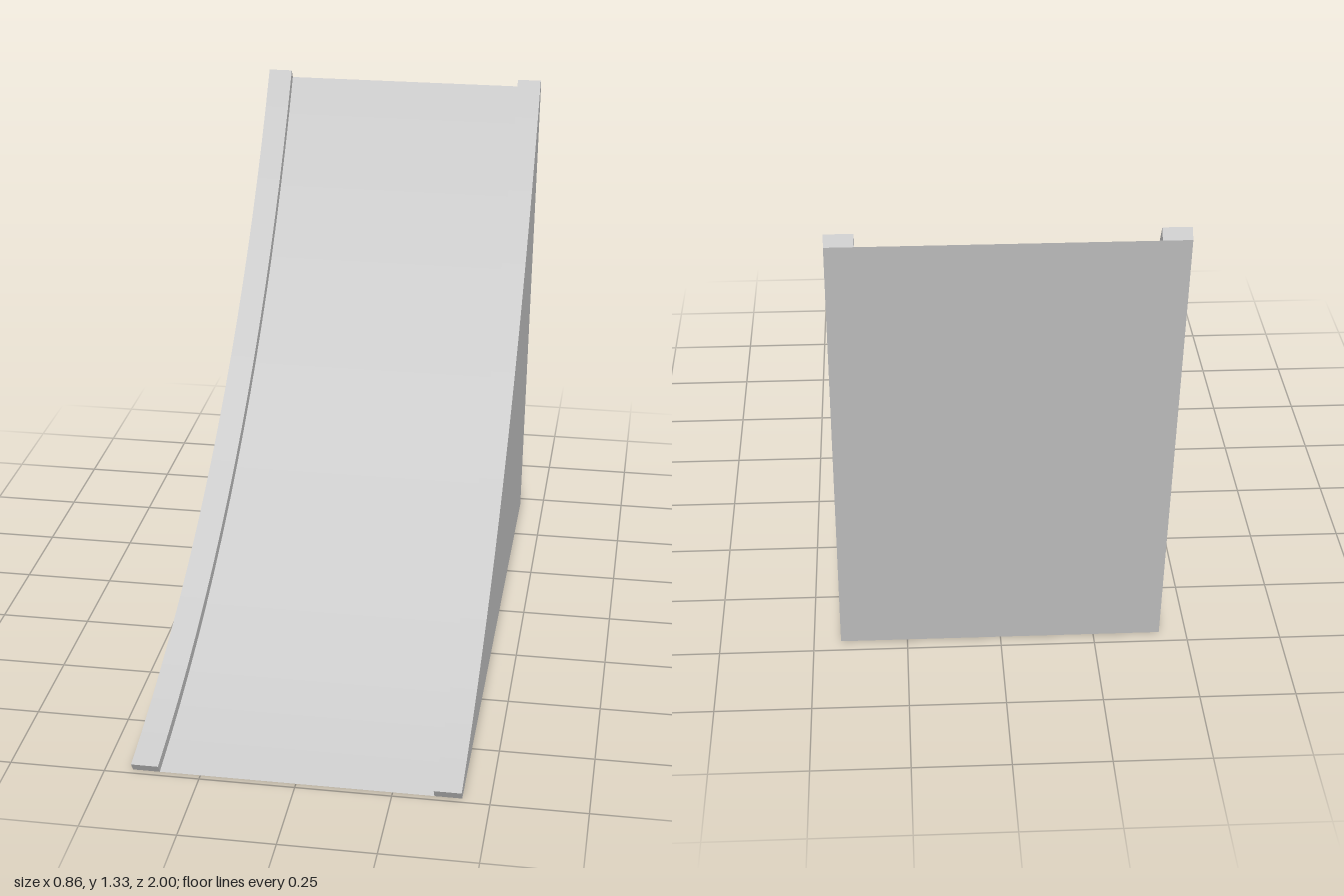
import * as THREE from 'three';

const HALF_WIDTH = 0.428, RAIL_WIDTH = 0.071, SEGMENTS = 20;
const material = new THREE.MeshStandardMaterial({ color: 0xcccccc, flatShading: true });

// Circular arc through two points in the (z, y) plane, sagging below its chord
function arcPoints(start, end, sag) {
  const chord = end.clone().sub(start);
  const half = chord.length() / 2;
  const radius = (half * half + sag * sag) / (2 * sag);
  const up = new THREE.Vector2(-chord.y, chord.x).normalize().negate();
  const centre = start.clone().add(end).multiplyScalar(0.5).addScaledVector(up, radius - sag);
  const a0 = start.clone().sub(centre).angle();
  const a1 = end.clone().sub(centre).angle();
  return Array.from({ length: SEGMENTS + 1 }, (_, i) => {
    const a = a0 + (a1 - a0) * i / SEGMENTS;
    return new THREE.Vector2(centre.x + radius * Math.cos(a), centre.y + radius * Math.sin(a));
  });
}

// Extrudes a (z, y) side profile across x, centred on the given x
function slab(name, points, width, x) {
  const geometry = new THREE.ExtrudeGeometry(new THREE.Shape(points), { depth: width, bevelEnabled: false });
  geometry.translate(0, 0, -width / 2).rotateY(-Math.PI / 2).translate(x, 0, 0);
  const mesh = new THREE.Mesh(geometry, material);
  mesh.name = name;
  return mesh;
}

export function createModel() {
  const group = new THREE.Group();
  group.name = 'curvedRamp';

  // Solid wedge with the curved running surface and a leaning back
  const surface = arcPoints(new THREE.Vector2(0.983, 0), new THREE.Vector2(-1, 1.304), 0.231);
  const body = [...surface, new THREE.Vector2(-0.71, 0)];
  group.add(slab('rampBody', body, HALF_WIDTH * 2, 0));

  // Raised rails: the running curve lifted square to its chord
  const lift = new THREE.Vector2(0.017, 0.026);
  const raised = surface.map((p) => p.clone().add(lift));
  const rail = [...surface, ...raised.reverse()];
  for (const [name, side] of [['leftRail', 1], ['rightRail', -1]]) {
    group.add(slab(name, rail, RAIL_WIDTH, side * (HALF_WIDTH - RAIL_WIDTH / 2)));
  }
  return group;
}
